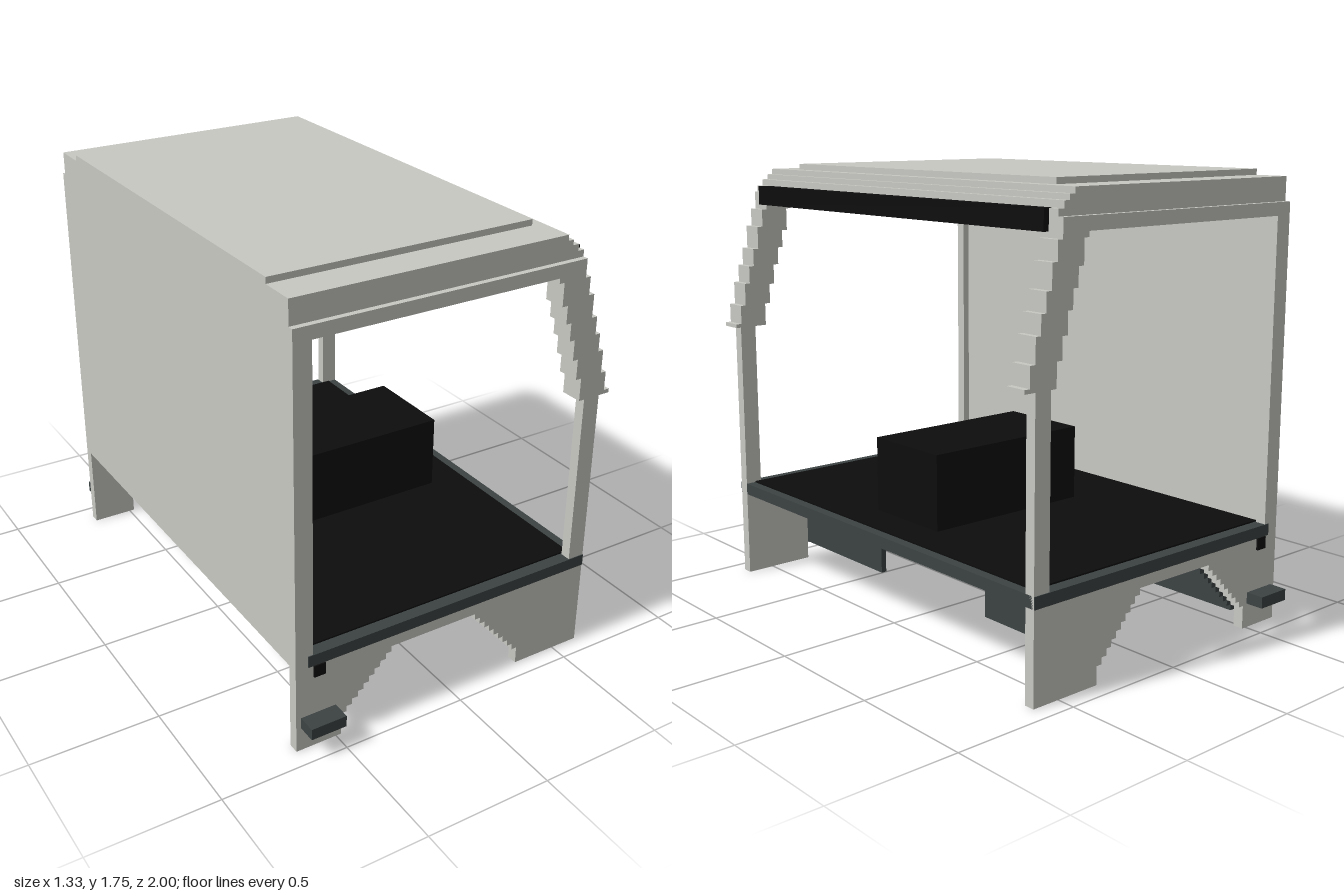
import * as THREE from 'three';

const mat = (name, color, side = THREE.FrontSide) => {
  const m = new THREE.MeshStandardMaterial({ color, side });
  m.name = name;
  return m;
};

export function createModel() {
  const body = mat('lightGreyPaint', 0xc8c8c3);
  const dark = mat('darkGreyTrim', 0x3c4343);
  const black = mat('black', 0x0d0d0d);
  const tan = mat('roofLining', 0x877f67);

  const model = new THREE.Group();
  model.name = 'truckCab';

  // Box given by its minimum and maximum on each axis
  const box = (name, m, x0, x1, y0, y1, z0, z1, parent = model) => {
    const mesh = new THREE.Mesh(new THREE.BoxGeometry(x1 - x0, y1 - y0, z1 - z0), m);
    mesh.position.set((x0 + x1) / 2, (y0 + y1) / 2, (z0 + z1) / 2);
    mesh.name = name;
    parent.add(mesh);
    return mesh;
  };
  // Side profile in x,y, extruded between two z values
  const plate = (name, m, pts, z0, z1, parent) => {
    const shape = new THREE.Shape(pts.map(p => new THREE.Vector2(p[0], p[1])));
    const g = new THREE.ExtrudeGeometry(shape, { depth: z1 - z0, bevelEnabled: false });
    const mesh = new THREE.Mesh(g, m);
    mesh.position.z = z0;
    mesh.name = name;
    parent.add(mesh);
  };

  // Floor, mat and engine cover
  box('floor', dark, -0.615, 0.615, 0.35, 0.396, -0.93, 0.93);
  box('floorMat', black, -0.6, 0.575, 0.396, 0.402, -0.88, 0.88);
  box('engineCover', black, -0.29, 0.43, 0.4, 0.7, -0.188, 0.188);

  // Back wall
  box('backWall', body, -0.665, -0.625, 0.35, 1.63, -0.886, 0.886);

  // Stepped roof
  box('roofBase', body, -0.665, 0.475, 1.63, 1.68, -0.905, 0.905);
  box('roofStep', body, -0.665, 0.45, 1.68, 1.7, -0.905, 0.905);
  box('roofTop', body, -0.665, 0.427, 1.7, 1.722, -0.905, 0.905);
  box('roofPanel', body, -0.665, 0.38, 1.722, 1.745, -0.767, 0.767);
  box('roofLining', tan, -0.625, 0.475, 1.622, 1.63, -0.84, 0.84);
  box('sunVisor', black, 0.475, 0.522, 1.58, 1.655, -0.86, 0.86);

  // Lower side panel with a stepped wheel arch
  const lower = [[-0.665, 0.35], [-0.665, 0], [-0.48, 0]];
  const n = 9;
  for (let i = 0; i < n; i++) {
    const x = -0.48 + 0.0235 * i, y = 0.092 + 0.0237 * i;
    lower.push([x, y], [x + 0.0235, y]);
  }
  lower.push([-0.2685, 0.305], [0.105, 0.305]);
  for (let i = 0; i < n; i++) {
    const x = 0.105 + 0.0235 * i, y = 0.28 - 0.0262 * i;
    lower.push([x, y], [x + 0.0235, y]);
  }
  lower.push([0.3165, 0], [0.615, 0], [0.615, 0.35]);

  // Stepped windscreen pillar: [x, lower y] along each edge, from the top
  const outer = [[0.5, 1.56], [0.522, 1.49], [0.546, 1.4], [0.57, 1.33],
    [0.592, 1.26], [0.615, 1.17], [0.638, 1.095], [0.662, 1.08]];
  const inner = [[0.383, 1.56], [0.405, 1.47], [0.429, 1.4], [0.452, 1.33],
    [0.475, 1.25], [0.498, 1.17], [0.522, 1.08]];
  const staircase = (steps, top) => {
    const pts = [];
    let y = top;
    for (const [x, yb] of steps) {
      pts.push([x, y], [x, yb]);
      y = yb;
    }
    return pts;
  };
  const pillar = [...staircase(inner, 1.63), ...staircase(outer, 1.63).reverse()];

  // Wheel housing inner wall
  const wellWall = [[-0.27, 0.305], [-0.405, 0.165], [0.315, 0.165], [0.315, 0.305]];

  for (const s of [1, -1]) {
    const side = new THREE.Group();
    side.name = s > 0 ? 'sideFrontFacing' : 'sideRearFacing';
    model.add(side);
    const span = (a, b) => (s > 0 ? [a, b] : [-b, -a]);
    const sBox = (name, m, x0, x1, y0, y1, a, b) => box(name, m, x0, x1, y0, y1, ...span(a, b), side);

    plate('lowerSidePanel', body, lower, ...span(0.885, 0.927), side);
    sBox('rearPillar', body, -0.665, -0.595, 0.35, 1.58, 0.885, 0.927);
    sBox('frontPost', body, 0.546, 0.615, 0.35, 1.09, 0.885, 0.927);
    sBox('roofRail', body, -0.665, 0.383, 1.58, 1.63, 0.84, 0.927);
    plate('windscreenPillar', body, pillar, ...span(0.84, 0.927), side);
    sBox('roofCorner', body, 0.475, 0.5, 1.63, 1.655, 0.86, 0.905);

    // Wheel housing: top, front, inner wall and stepped rear slope
    sBox('housingTop', dark, -0.27, 0.315, 0.284, 0.305, 0.33, 0.885);
    sBox('housingFront', dark, 0.292, 0.315, 0.075, 0.284, 0.33, 0.885);
    plate('housingInnerWall', dark, wellWall, ...span(0.33, 0.352), side);
    for (let i = 0; i < n; i++) {
      const x = -0.27 - 0.0235 * i, y = 0.305 - 0.0237 * i;
      sBox('housingStep', dark, x - 0.0235, x, y - 0.047, y - 0.018, 0.33, 0.885);
    }

    // Boarding step and small bracket
    sBox('boardingStep', dark, -0.645, -0.502, 0.097, 0.142, 0.92, 1.0);
    sBox('bracket', black, -0.594, -0.548, 0.303, 0.35, 0.9, 0.935);
  }
  return model;
}
